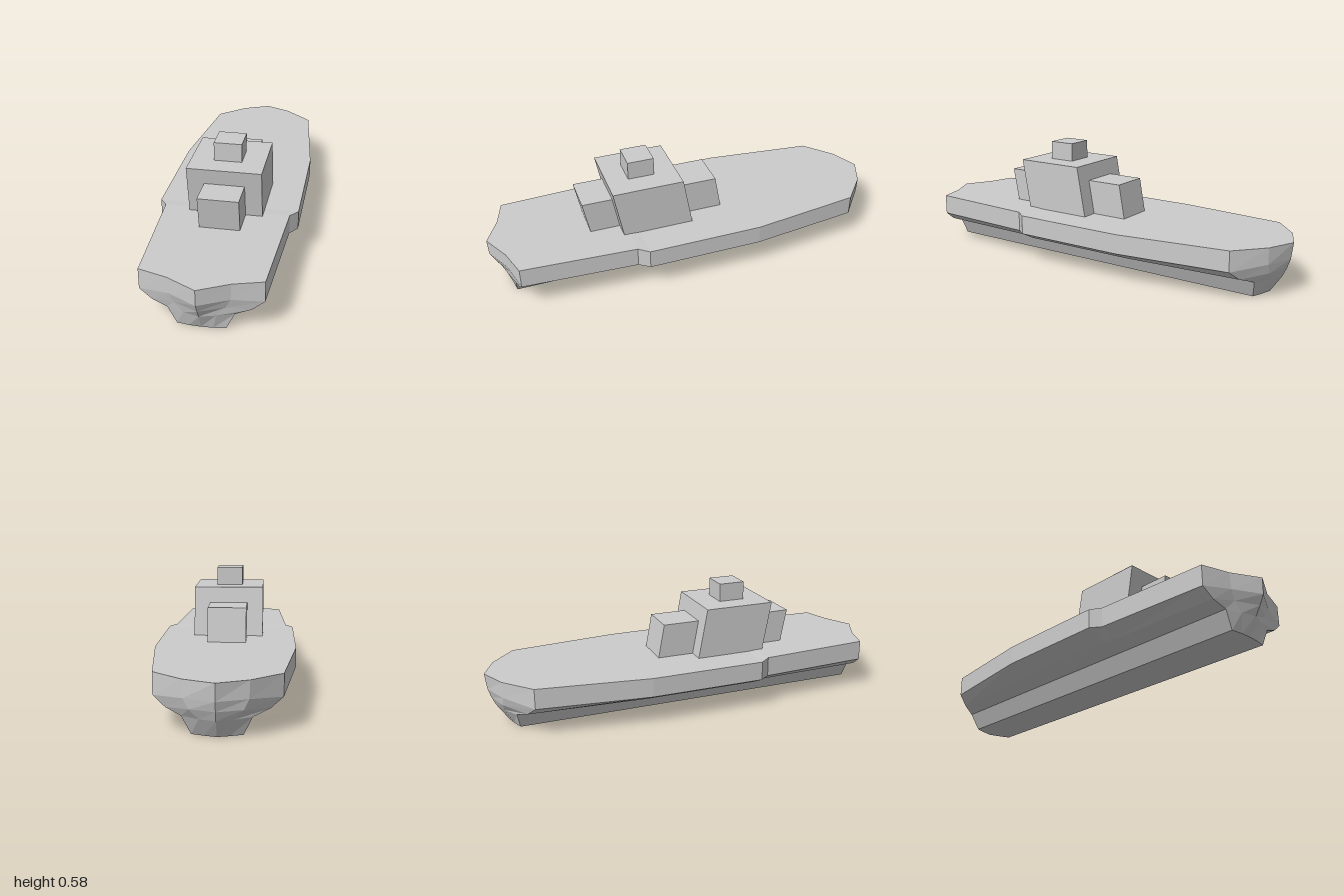
import * as THREE from 'three';

const material = new THREE.MeshStandardMaterial({ color: 0xcccccc, flatShading: true });

// Half of each station from bow to stern; five [x, y, z] points from deck down to keel
const side = (x, z, deckY = 0.248, chineZ = z, keelZ = z) => [
  [x, deckY, z],
  [x, 0.15, z],
  [0.145 + (x - 0.145) * 0.56, 0.107, z * 0.6 + chineZ * 0.4],
  [0.145, 0.082, chineZ],
  [0.107, 0, keelZ],
];
const stations = [
  [[0, 0.248, 1], [0, 0.17, 0.997], [0, 0.125, 0.975], [0, 0.082, 0.95], [0, 0, 0.91]],
  [[0.135, 0.248, 0.93], [0.132, 0.17, 0.93], [0.11, 0.125, 0.925], [0.07, 0.082, 0.93], [0.053, 0, 0.908]],
  side(0.27, 0.89, 0.248, 0.905, 0.9),
  side(0.3, 0.335, 0.246),
  side(0.336, 0.285, 0.243),
  side(0.336, -0.28, 0.243),
  side(0.27, -0.82, 0.248, -0.885, -0.865),
  [[0.135, 0.248, -0.94], [0.132, 0.17, -0.94], [0.11, 0.125, -0.94], [0.07, 0.082, -0.93], [0.053, 0, -0.885]],
  [[0, 0.248, -1], [0, 0.17, -0.99], [0, 0.125, -0.975], [0, 0.082, -0.955], [0, 0, -0.9]],
];

function hullGeometry() {
  const last = stations.length - 1;
  const count = last * 2;
  const levels = stations[0].length;
  const positions = [];
  const index = [];
  // Closed rings: down the left side, then back up the mirrored right side
  for (let level = 0; level < levels; level++) {
    for (let i = 0; i < count; i++) {
      const [x, y, z] = stations[i <= last ? i : count - i][level];
      positions.push(i <= last ? x : -x, y, z);
    }
  }
  const quad = (a, b, c, d) => {
    if (a !== d) index.push(a, c, d);
    if (b !== c) index.push(a, b, c);
  };
  // Side plating
  for (let level = 0; level < levels - 1; level++) {
    for (let i = 0; i < count; i++) {
      const j = (i + 1) % count;
      const up = level * count;
      const low = up + count;
      quad(low + i, low + j, up + j, up + i);
    }
  }
  // Deck and keel bottom as strips across the hull
  const base = (levels - 1) * count;
  for (let i = 0; i < last; i++) {
    const r = (count - i) % count;
    const s = count - i - 1;
    quad(i, i + 1, s, r);
    quad(base + r, base + s, base + i + 1, base + i);
  }
  const geometry = new THREE.BufferGeometry();
  geometry.setAttribute('position', new THREE.Float32BufferAttribute(positions, 3));
  geometry.setIndex(index);
  const flat = geometry.toNonIndexed();
  flat.computeVertexNormals();
  return flat;
}

// Box whose top is shifted forward by lean
function leaningBlock(name, width, y0, y1, zBack, zFront, lean) {
  const height = y1 - y0;
  const geometry = new THREE.BoxGeometry(width, height, zFront - zBack);
  const p = geometry.attributes.position;
  for (let i = 0; i < p.count; i++) {
    if (p.getY(i) > 0) p.setZ(i, p.getZ(i) + lean);
  }
  geometry.computeVertexNormals();
  const mesh = new THREE.Mesh(geometry, material);
  mesh.name = name;
  mesh.position.set(0, y0 + height / 2, (zBack + zFront) / 2);
  return mesh;
}

export function createModel() {
  const ship = new THREE.Group();
  ship.name = 'ship';

  const hull = new THREE.Mesh(hullGeometry(), material);
  hull.name = 'hull';
  ship.add(hull);

  // Forward-raked superstructure
  const superstructure = new THREE.Group();
  superstructure.name = 'superstructure';
  superstructure.add(
    leaningBlock('mainCabin', 0.35, 0.24, 0.488, 0.015, 0.364, 0.046),
    leaningBlock('frontCabin', 0.19, 0.24, 0.41, 0.3, 0.511, 0.033),
    leaningBlock('rearCabin', 0.19, 0.24, 0.41, -0.166, 0.05, 0.031),
    leaningBlock('lookout', 0.132, 0.48, 0.578, 0.174, 0.304, 0),
  );
  ship.add(superstructure);

  return ship;
}
